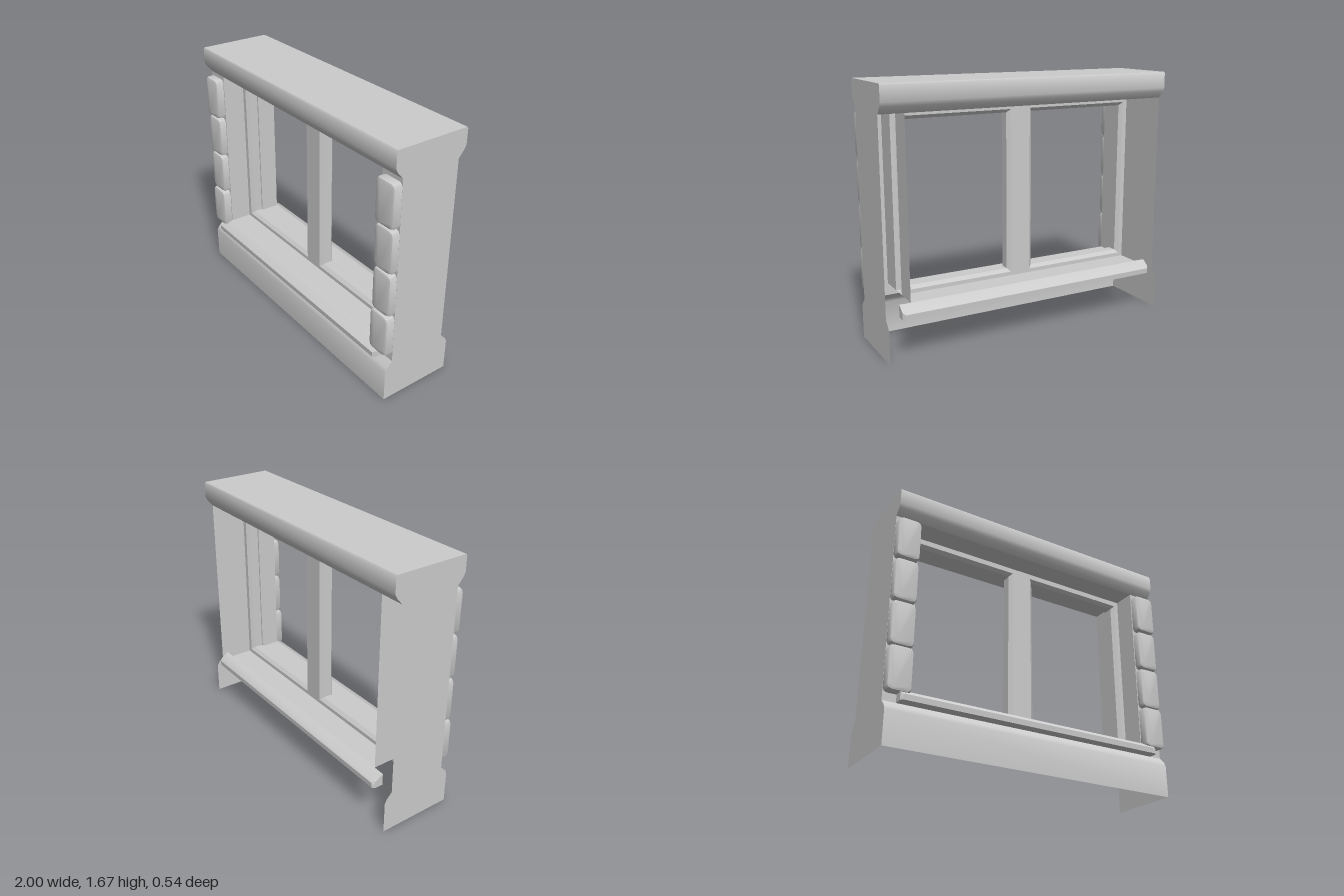
import * as THREE from 'three';
import { toCreasedNormals } from 'three/addons/utils/BufferGeometryUtils.js';

const material = new THREE.MeshStandardMaterial({ color: 0xcccccc, side: THREE.DoubleSide });

// Skin through a list of equal-length point rings
function loft(rings, { closed = true, cap = false } = {}) {
  const n = rings[0].length, pos = rings.flat(2), index = [];
  for (let r = 0; r + 1 < rings.length; r++) {
    for (let i = 0; i < (closed ? n : n - 1); i++) {
      const a = r * n + i, b = r * n + (i + 1) % n;
      index.push(a, b, b + n, a, b + n, a + n);
    }
  }
  if (cap) {
    const last = (rings.length - 1) * n;
    for (let i = 1; i + 1 < n; i++) {
      index.push(last, last + i, last + i + 1);
      if (cap === 'both') index.push(0, i + 1, i);
    }
  }
  const g = new THREE.BufferGeometry();
  g.setAttribute('position', new THREE.Float32BufferAttribute(pos, 3));
  g.setIndex(index);
  g.computeVertexNormals();
  return toCreasedNormals(g, 0.65);
}

// Open sheet: a [z, y] profile swept along x, first point at the bottom front
const sheet = (profile, x0, x1) =>
  loft([x1, x0].map(x => profile.map(([z, y]) => [x, y, z])), { closed: false });

// Rectangle with cut corners at depth z
function rectRing(x0, x1, y0, y1, z, c = 0) {
  if (!c) return [[x0, y0, z], [x1, y0, z], [x1, y1, z], [x0, y1, z]];
  const k = c * 0.3;
  return [
    [x0 + c, y0, z], [x1 - c, y0, z], [x1 - k, y0 + k, z], [x1, y0 + c, z],
    [x1, y1 - c, z], [x1 - k, y1 - k, z], [x1 - c, y1, z], [x0 + c, y1, z],
    [x0 + k, y1 - k, z], [x0, y1 - c, z], [x0, y0 + c, z], [x0 + k, y0 + k, z],
  ];
}

export function createModel() {
  const group = new THREE.Group();
  const add = (name, geometry) => {
    const mesh = new THREE.Mesh(geometry, material);
    mesh.name = name;
    group.add(mesh);
    return mesh;
  };

  const JAMB = 0.84, SILL = 0.355, HEAD = 1.495, FRAME = 0.05;

  // Half profiles of the plinth and lintel mouldings
  const plinth = [[0.25, 0], [0.25, 0.21], [0.238, 0.235], [0.2, 0.275]];
  const lintel = [[0.2, HEAD], [0.238, 1.54], [0.25, 1.565], [0.25, 1.66], [0.243, 1.67]];
  const mirror = p => p.map(([z, y]) => [-z, y]).reverse();

  add('plinth', sheet([...plinth, [0.2, SILL]], -1, 1));
  add('lintel', sheet([...lintel, ...mirror(lintel)], -1, 1));
  add('soffit', sheet([[-0.2, HEAD], [0.2, HEAD]], -JAMB, JAMB));
  add('sillFloor', sheet([[0.2, SILL], [-0.2, SILL]], -JAMB, JAMB));

  // End panels, front piers and reveals
  const half = [...plinth, ...lintel];
  const endShape = new THREE.Shape([...half, ...mirror(half)].map(([z, y]) => new THREE.Vector2(-z, y)));
  for (const s of [-1, 1]) {
    const end = add('endPanel', new THREE.ShapeGeometry(endShape));
    end.rotation.y = s * Math.PI / 2;
    end.position.x = s;
    if (s < 0) end.geometry.scale(1, 1, 1);

    add('pier', loft([
      [[s * JAMB, SILL, 0.2], [s, SILL, 0.2]],
      [[s * JAMB, HEAD, 0.2], [s, HEAD, 0.2]],
    ], { closed: false }));

    for (const d of [-1, 1]) {
      add('reveal', loft([
        [[s * JAMB, SILL, d * 0.2], [s * JAMB, SILL, d * FRAME]],
        [[s * JAMB, HEAD, d * 0.2], [s * JAMB, HEAD, d * FRAME]],
      ], { closed: false }));
    }

    // Stones: bottom, top, front depth
    for (const [y0, y1, z] of [
      [0.325, 0.605, 0.258], [0.61, 0.893, 0.25], [0.9, 1.18, 0.25], [1.19, 1.47, 0.255],
    ]) {
      const b = 0.018;
      const xs = [s * 0.846, s * 0.999].sort((p, q) => p - q);
      const ring = (i, depth) =>
        rectRing(xs[0] + i, xs[1] - i, y0 + i, y1 - i, depth, 0.025);
      add('stone', loft([
        ring(0, 0.2), ring(0, z - b), ring(b * 0.3, z - b * 0.3), ring(b, z),
      ], { cap: true }));
    }
  }

  // Sloped sills front and back, with eased ends
  const sillProfile = [[0.2, 0.275], [0.27, 0.275], [0.272, 0.31], [0.262, 0.32], [0.215, 0.35], [0.2, SILL]];
  for (const d of [1, -1]) {
    const ring = (x, zMax) => sillProfile.map(([z, y]) => [x, y, d * Math.min(z, zMax)]);
    add(d > 0 ? 'frontSill' : 'backSill', loft([
      ring(-0.915, 0.255), ring(-0.9, 1), ring(0.9, 1), ring(0.915, 0.255),
    ], { cap: 'both' }));
  }

  // Window frame: flat faces with two openings, each with a bevelled lining
  const openings = [[-0.81, -0.07], [0.07, 0.81]];
  const face = new THREE.Shape(rectRing(-JAMB, JAMB, SILL, HEAD, 0).map(([x, y]) => new THREE.Vector2(x, y)));
  for (const [x0, x1] of openings) {
    face.holes.push(new THREE.Path(rectRing(x0, x1, 0.38, 1.46, 0).map(([x, y]) => new THREE.Vector2(x, y))));
    const ring = (i, z) => rectRing(x0 + i, x1 - i, 0.38 + i, 1.46 - i, z);
    add('windowLining', loft([
      ring(0, FRAME), ring(0.022, 0.03), ring(0.022, -0.03), ring(0, -FRAME),
    ]));
  }
  for (const d of [-1, 1]) {
    const plate = add(d > 0 ? 'frameFront' : 'frameBack', new THREE.ShapeGeometry(face));
    plate.position.z = d * FRAME;
    if (d < 0) plate.rotation.y = Math.PI;
  }

  return group;
}
